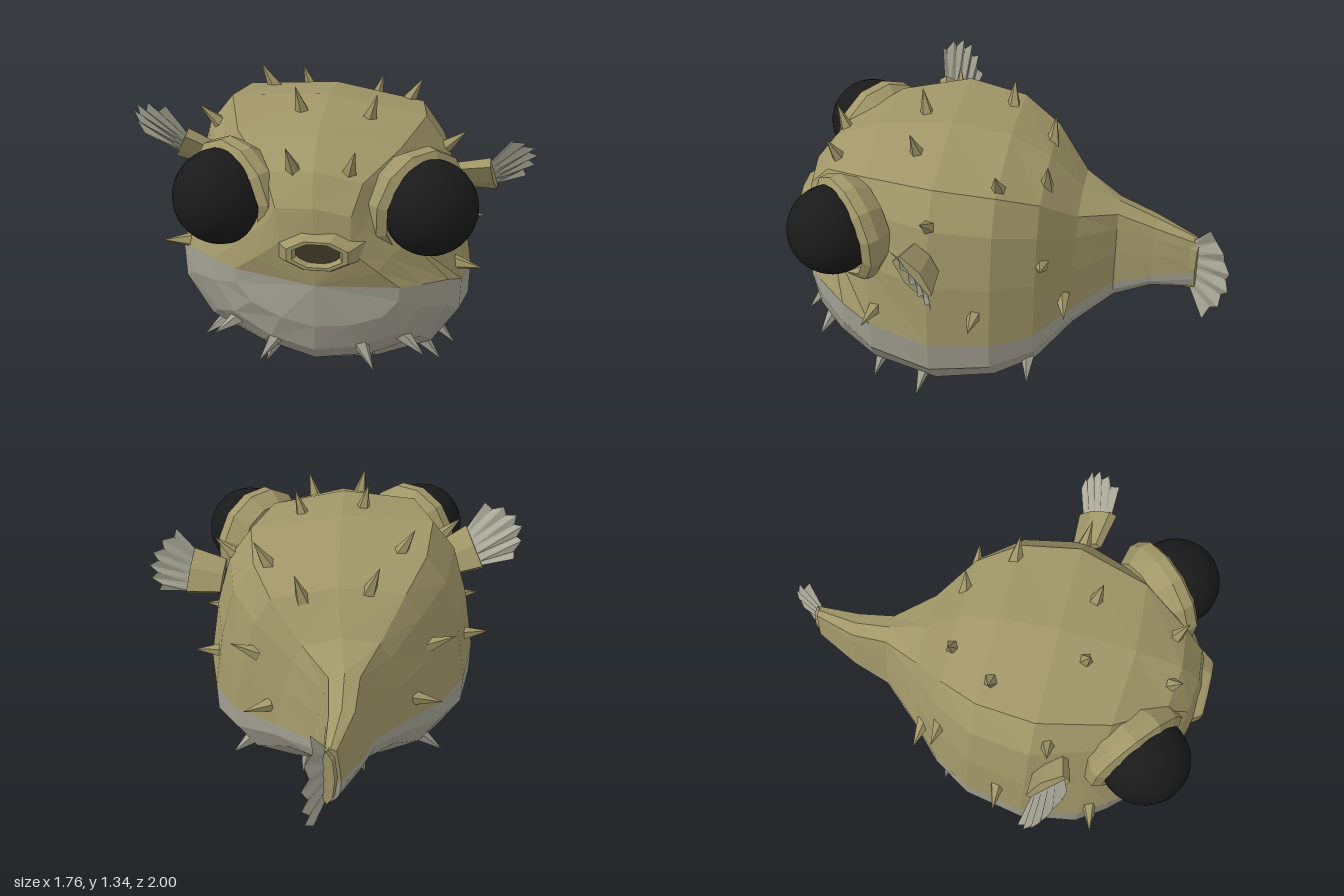
import * as THREE from 'three';

const mat = (color, extra = {}) => new THREE.MeshStandardMaterial({ color, flatShading: true, ...extra });
const olive = mat(0xa09668, { side: THREE.DoubleSide });
const pale = mat(0xa3a193, { side: THREE.DoubleSide });
const fin = mat(0xa9a898, { side: THREE.DoubleSide });
const dark = mat(0x3e3a28);
const black = mat(0x1a1a1a, { flatShading: false });
const V = (x, y, z) => new THREE.Vector3(x, y, z);

function add(parent, name, geo, material) {
  const m = new THREE.Mesh(geo, material);
  m.name = name;
  parent.add(m);
  return m;
}

// Body rings, nose to tail: z, centre x, half width, top y, bottom y, colour line y, upper narrowing
const rings = [
  [0.97, 0, 0.34, 0.88, 0.5, 0.69, 0.6],
  [0.94, -0.01, 0.44, 1.02, 0.37, 0.68, 0.5],
  [0.85, -0.02, 0.55, 1.14, 0.28, 0.65, 0.52],
  [0.64, -0.03, 0.61, 1.23, 0.15, 0.59, 0.8],
  [0.3, -0.03, 0.64, 1.27, 0.08, 0.53, 0.95],
  [0.03, -0.03, 0.59, 1.23, 0.12, 0.52, 0.95],
  [-0.15, -0.03, 0.48, 1.14, 0.19, 0.51, 0.9],
  [-0.3, -0.05, 0.31, 0.97, 0.33, 0.52, 0.8],
  [-0.47, -0.07, 0.14, 0.9, 0.4, 0.54, 0.7],
  [-0.64, -0.065, 0.1, 0.83, 0.47, 0.57, 0.8],
  [-0.84, -0.025, 0.045, 0.77, 0.49, 0.6, 0.8],
];
const upper = [[1, 0], [0.96, 0.4], [0.87, 0.74], [0.7, 0.93], [0, 1]];
const lower = [[1, 0], [0.99, 0.33], [0.8, 0.7], [0.42, 0.9], [0, 1]];

// One half of the body: a strip of quads through all rings, closed at both ends
function bodyHalf(isTop) {
  const half = isTop ? upper : lower;
  const mirrored = half.slice(0, -1).reverse().map(([x, y]) => [-x, y]);
  const section = [...half, ...mirrored];
  if (!isTop) section.reverse();
  const n = section.length, pos = [], idx = [];
  // The face curves back toward the cheeks, and the whole body rolls a little
  const put = (x, y, z) => {
    const bow = 0.6 * THREE.MathUtils.clamp((z - 0.5) / 0.4, 0, 1);
    pos.push(x, y - 0.065 * x, z - bow * x * x);
  };
  for (const [z, cx, w, yt, yb, ym, u] of rings) {
    for (const [fx, fy] of section) {
      const narrow = isTop ? 1 - (1 - u) * Math.min(1, fy * 1.4) : 1;
      put(cx + w * fx * narrow, ym + fy * ((isTop ? yt : yb) - ym), z);
    }
  }
  for (let i = 0; i < rings.length - 1; i++) {
    for (let j = 0; j < n - 1; j++) {
      const a = i * n + j, b = a + 1, d = a + n, c = d + 1;
      idx.push(a, d, b, b, d, c);
    }
  }
  const last = (rings.length - 1) * n, hub = rings.length * n;
  for (const r of [rings[0], rings[rings.length - 1]]) put(r[1], r[5], r[0]);
  for (let j = 0; j < n - 1; j++) {
    idx.push(hub, j, j + 1, hub + 1, last + j + 1, last + j);
  }
  const g = new THREE.BufferGeometry();
  g.setAttribute('position', new THREE.Float32BufferAttribute(pos, 3));
  g.setIndex(idx);
  g.computeVertexNormals();
  return g;
}

// Pleated fan between a root edge and a curved, notched outer edge
function fan(rootA, rootB, tipA, tipB, ctrl, n = 10) {
  const curve = new THREE.QuadraticBezierCurve3(tipA, ctrl, tipB);
  const normal = tipA.clone().sub(rootA).cross(rootB.clone().sub(rootA)).normalize();
  const pos = [], idx = [];
  for (let i = 0; i <= n; i++) {
    const t = i / n, odd = i % 2;
    const root = rootA.clone().lerp(rootB, t);
    const tip = root.clone().lerp(curve.getPoint(t), odd ? 0.85 : 1);
    tip.addScaledVector(normal, odd ? 0.009 : -0.009);
    pos.push(...root.toArray(), ...tip.toArray());
    if (i < n) idx.push(2 * i, 2 * i + 1, 2 * i + 2, 2 * i + 1, 2 * i + 3, 2 * i + 2);
  }
  const g = new THREE.BufferGeometry();
  g.setAttribute('position', new THREE.Float32BufferAttribute(pos, 3));
  g.setIndex(idx);
  g.computeVertexNormals();
  return g;
}

// Points near the skin where spikes grow
const spikeSpots = [
  // crown and forehead
  [-0.14, 1.3, 0.45], [0.18, 1.28, 0.43], [-0.53, 1.17, 0.37], [0.53, 1.1, 0.31],
  [-0.33, 1.25, 0.07], [0.32, 1.2, 0.03], [-0.18, 1.15, -0.14], [0.14, 1.13, -0.16],
  [-0.11, 1.16, 0.83], [0.13, 1.16, 0.81],
  // flanks
  [-0.52, 0.88, -0.14], [0.44, 0.85, -0.18], [-0.42, 0.62, -0.24], [0.33, 0.57, -0.27],
  [-0.67, 0.72, 0.18], [0.6, 0.64, 0.1], [-0.6, 0.68, 0.6], [0.58, 0.62, 0.56],
  // belly
  [-0.46, 0.36, 0.85], [0.43, 0.34, 0.85], [-0.2, 0.37, 0.92], [0.2, 0.37, 0.92],
  [-0.54, 0.24, 0.64], [0.46, 0.2, 0.58], [-0.24, 0.17, 0.58], [0.22, 0.09, 0.2],
  [-0.36, 0.13, 0.22], [0.45, 0.22, 0.36], [-0.14, 0.18, -0.12], [0.12, 0.17, -0.12],
  [-0.42, 0.32, -0.1], [0.38, 0.29, -0.12],
];

export function createModel() {
  const model = new THREE.Group();
  model.name = 'pufferfish';

  const back = add(model, 'back', bodyHalf(true), olive);
  const belly = add(model, 'belly', bodyHalf(false), pale);

  // Spikes, set on the skin by casting a ray toward the core
  const spikes = new THREE.Group();
  spikes.name = 'spikes';
  model.add(spikes);
  const up = V(0, 1, 0);
  for (const [x, y, z] of spikeSpots) {
    const out = V(x, y, z).sub(V(0, 0.65, z * 0.75)).normalize();
    const ray = new THREE.Raycaster(V(x, y, z).addScaledVector(out, 0.4), out.clone().negate());
    const hit = ray.intersectObjects([back, belly])[0];
    const s = add(spikes, 'spike', new THREE.ConeGeometry(0.037, 0.14, 5), hit.object.material);
    s.position.copy(hit.point).addScaledVector(out, 0.045);
    s.quaternion.setFromUnitVectors(up, out);
  }

  // Eyes with raised sockets
  const socket = [[0, -0.11], [0.2, -0.11], [0.25, -0.03], [0.248, 0.02], [0.212, 0.045], [0.18, -0.02]]
    .map(p => new THREE.Vector2(...p));
  const eyes = [
    ['left', V(0.445, 0.965, 0.745), V(0.7, -0.03, 0.7)],
    ['right', V(-0.415, 0.985, 0.785), V(-0.63, -0.03, 0.77)],
  ];
  for (const [side, centre, dir] of eyes) {
    dir.normalize();
    add(model, side + 'Eye', new THREE.SphereGeometry(0.2, 28, 18), black).position.copy(centre);
    const rim = add(model, side + 'EyeSocket', new THREE.LatheGeometry(socket, 12), olive);
    rim.position.copy(centre).addScaledVector(dir, -0.07);
    rim.position.y -= 0.02;
    rim.quaternion.setFromUnitVectors(up, dir);
  }

  // Mouth: flattened eight-sided lips around a dark opening
  const lips = [[0.25, -0.13], [0.185, -0.06], [0.15, -0.012], [0.135, 0], [0.11, 0], [0.09, -0.05]]
    .map(p => new THREE.Vector2(...p));
  const mouth = new THREE.Group();
  mouth.name = 'mouth';
  add(mouth, 'lips', new THREE.LatheGeometry(lips, 8, Math.PI / 8), olive);
  add(mouth, 'mouthOpening', new THREE.CylinderGeometry(0.1, 0.1, 0.02, 8), dark).position.y = -0.04;
  mouth.rotation.x = Math.PI / 2;
  mouth.scale.z = 0.5;
  mouth.position.set(0.015, 0.84, 1);
  model.add(mouth);

  // Side fins: a slanted fleshy base and a pleated fan
  const fins = [
    ['left', V(0.67, 1.02, 0.39), V(0.7, 0.87, 0.26), V(0.76, 1.14, 0.39), V(0.83, 0.9, 0.21), V(0.95, 1.06, 0.23), V(0.8, 0.12, 0.1)],
    ['right', V(-0.62, 1.12, 0.47), V(-0.69, 0.99, 0.35), V(-0.71, 1.25, 0.5), V(-0.85, 1.04, 0.33), V(-0.97, 1.27, 0.4), V(-0.8, 0.35, 0.1)],
  ];
  for (const [side, a, b, tipA, tipB, ctrl, dir] of fins) {
    add(model, side + 'Fin', fan(a, b, tipA, tipB, ctrl), fin);
    const along = a.clone().sub(b).normalize();
    const out = dir.clone().addScaledVector(along, -dir.dot(along)).normalize();
    const base = add(model, side + 'FinBase', new THREE.CylinderGeometry(0.125, 0.095, 0.16, 6), olive);
    base.geometry.scale(1, 1, 0.36);
    base.quaternion.setFromRotationMatrix(
      new THREE.Matrix4().makeBasis(along, out, along.clone().cross(out)));
    base.position.copy(a).add(b).multiplyScalar(0.5).addScaledVector(out, -0.07);
  }

  // Tail stump and tail fin, swept slightly to the left
  const stump = add(model, 'tailStump', new THREE.CylinderGeometry(0.14, 0.155, 0.07, 8), olive);
  stump.geometry.scale(0.27, 1, 1);
  stump.geometry.rotateX(-Math.PI / 2);
  stump.rotation.y = -0.35;
  stump.position.set(-0.02, 0.625, -0.82);
  add(model, 'tailFin', fan(V(-0.01, 0.76, -0.82), V(-0.01, 0.5, -0.82),
    V(0.05, 0.88, -0.9), V(0.05, 0.36, -0.9), V(0.12, 0.61, -1.12)), fin);

  return model;
}
